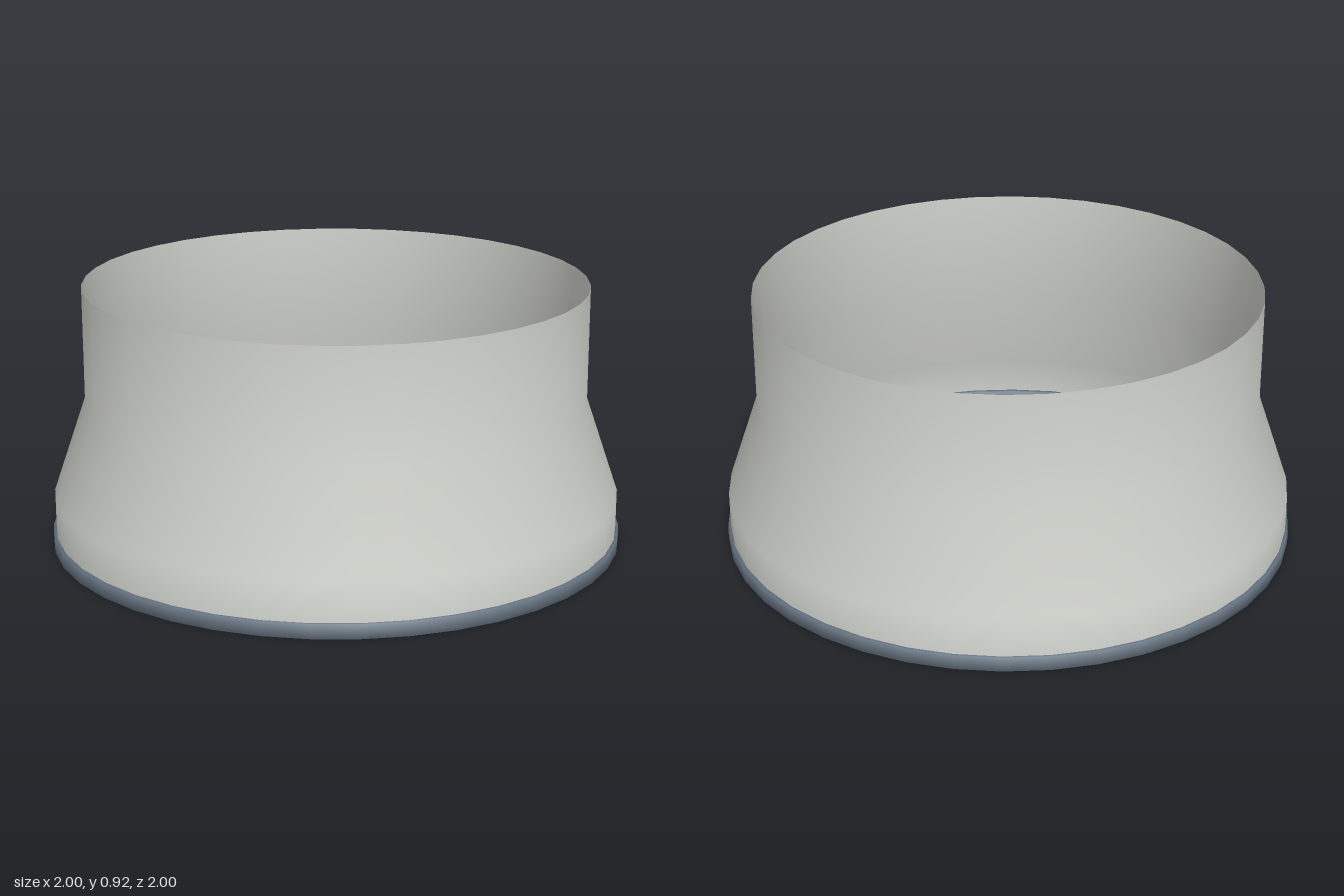
import * as THREE from 'three';

const SEGMENTS = 40;

const shellGrey = new THREE.MeshStandardMaterial({ color: 0xd2d4ce, side: THREE.DoubleSide });
shellGrey.name = 'shell grey';
const slate = new THREE.MeshStandardMaterial({ color: 0x6b7987 });
slate.name = 'slate';

// Revolve a [radius, height] profile around the y axis
function revolve(name, profile, material) {
  const points = profile.map(([r, y]) => new THREE.Vector2(r, y));
  const mesh = new THREE.Mesh(new THREE.LatheGeometry(points, SEGMENTS), material);
  mesh.name = name;
  return mesh;
}

export function createModel() {
  const group = new THREE.Group();
  group.name = 'reducerCollar';

  // Thin open wall: wide skirt, tapered shoulder, straight neck
  group.add(revolve('collarWall', [
    [0.99, 0.01], [0.99, 0.18], [0.875, 0.515], [0.875, 0.915],
  ], shellGrey));

  // Band around the bottom edge, a closed section with softened shading
  group.add(revolve('baseRim', [
    [0.972, 0], [1, 0], [1, 0.05], [0.972, 0.05], [0.972, 0],
  ], slate));

  return group;
}
